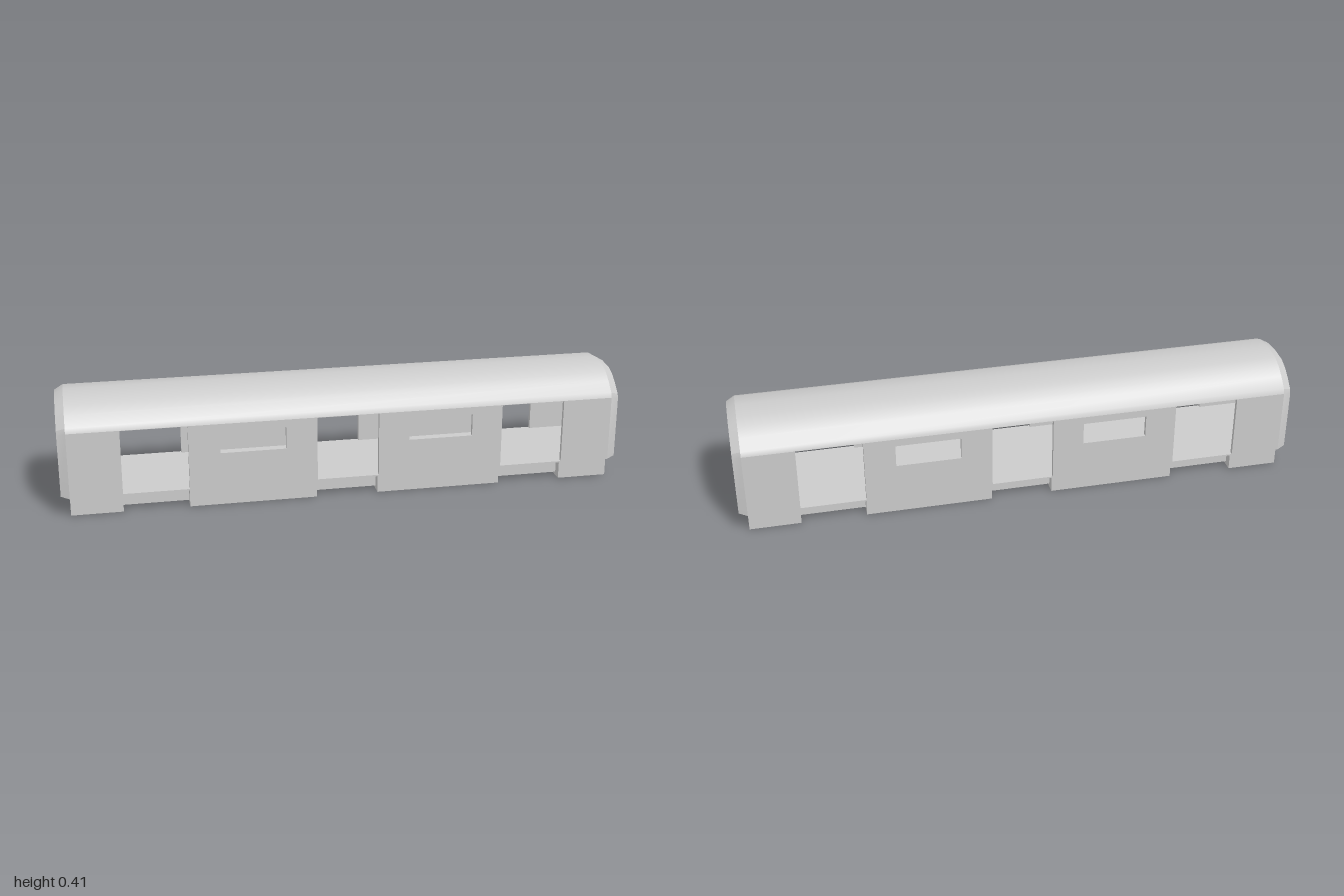
import * as THREE from 'three';
import { toCreasedNormals } from 'three/addons/utils/BufferGeometryUtils.js';

const material = new THREE.MeshStandardMaterial({ color: 0xcccccc });

const BODY = 0.97;       // half length up to the chamfered ends
const HALF_W = 0.183;    // half width of the body
const WALL = 0.014;      // wall thickness
const FLOOR_Y = 0.073;   // top of the floor
const EAVES = 0.305;     // where the walls meet the roof
const DOORS = [[-0.79, -0.56], [-0.11, 0.11], [0.56, 0.79]];
const WINDOWS = [[-0.45, -0.22], [0.22, 0.45]];

// Roof curve from the right eave over the crown to the left eave
function arch(inset) {
  const half = [[0.183, EAVES], [0.177, 0.323], [0.143, 0.357], [0.112, 0.381], [0.073, 0.399], [0, 0.406]];
  const all = [...half, ...half.slice(0, -1).reverse().map(([z, y]) => [-z, y])];
  const top = 0.406 - EAVES;
  return all.map(([z, y]) => new THREE.Vector2(
    z * (HALF_W - inset) / HALF_W,
    EAVES + (y - EAVES) * (top - inset) / top,
  ));
}

// Extrudes a cross-section (z, y) along the length of the carriage
function alongX(points, length) {
  const geometry = new THREE.ExtrudeGeometry(new THREE.Shape(points), { depth: length, bevelEnabled: false });
  geometry.translate(0, 0, -length / 2);
  geometry.rotateY(Math.PI / 2);
  return toCreasedNormals(geometry, 0.55);
}

function add(group, name, geometry) {
  const mesh = new THREE.Mesh(geometry, material);
  mesh.name = name;
  group.add(mesh);
  return mesh;
}

function box(group, name, x0, x1, y0, y1, halfZ) {
  const mesh = add(group, name, new THREE.BoxGeometry(x1 - x0, y1 - y0, halfZ * 2));
  mesh.position.set((x0 + x1) / 2, (y0 + y1) / 2, 0);
}

// Side wall with open doorways and window holes
function wallGeometry() {
  const doorTop = EAVES - 0.001;
  const shape = new THREE.Shape();
  shape.moveTo(-BODY, FLOOR_Y);
  for (const [a, b] of DOORS) {
    shape.lineTo(a, FLOOR_Y);
    shape.lineTo(a, doorTop);
    shape.lineTo(b, doorTop);
    shape.lineTo(b, FLOOR_Y);
  }
  shape.lineTo(BODY, FLOOR_Y);
  shape.lineTo(BODY, EAVES);
  shape.lineTo(-BODY, EAVES);
  shape.closePath();
  for (const [a, b] of WINDOWS) {
    shape.holes.push(new THREE.Path([
      new THREE.Vector2(a, 0.198), new THREE.Vector2(a, 0.278),
      new THREE.Vector2(b, 0.278), new THREE.Vector2(b, 0.198),
    ]));
  }
  return new THREE.ExtrudeGeometry(shape, { depth: WALL, bevelEnabled: false });
}

// Solid end wall whose outer face is drawn in to form the chamfer
function endGeometry() {
  const depth = 1 - BODY;
  const outline = [...arch(0), new THREE.Vector2(-HALF_W, 0.068), new THREE.Vector2(HALF_W, 0.068)];
  const geometry = new THREE.ExtrudeGeometry(new THREE.Shape(outline), { depth, bevelEnabled: false });
  const p = geometry.attributes.position;
  for (let i = 0; i < p.count; i++) {
    if (p.getZ(i) < depth / 2) continue;
    p.setX(i, p.getX(i) * 0.17 / HALF_W);
    p.setY(i, 0.075 + (p.getY(i) - 0.068) * 0.314 / 0.338);
  }
  geometry.translate(0, 0, BODY);
  return toCreasedNormals(geometry, 0.38);
}

export function createModel() {
  const model = new THREE.Group();
  model.name = 'railCarriage';

  // Curved roof shell
  add(model, 'roof', alongX([...arch(0), ...arch(WALL).reverse()], BODY * 2));

  // Side walls, open on both sides
  const wall = wallGeometry();
  add(model, 'frontWall', wall).position.z = HALF_W - WALL;
  add(model, 'backWall', wall).position.z = -HALF_W;

  // End walls
  const end = endGeometry();
  add(model, 'leftEnd', end).rotation.y = Math.PI / 2;
  add(model, 'rightEnd', end).rotation.y = -Math.PI / 2;

  // Floor with sloping lower edges
  const floor = [[-0.166, 0.062], [0.166, 0.062], [HALF_W, 0.068], [HALF_W, FLOOR_Y], [-HALF_W, FLOOR_Y], [-HALF_W, 0.068]];
  add(model, 'floor', alongX(floor.map(([z, y]) => new THREE.Vector2(z, y)), BODY * 2));

  // Underframe, recessed below each doorway
  const edges = [-BODY, ...DOORS.flat(), BODY];
  for (let i = 0; i < edges.length - 1; i++) {
    if (i % 2 === 0) box(model, 'skirtBlock', edges[i], edges[i + 1], 0, 0.062, 0.166);
    else box(model, 'doorwayRecess', edges[i], edges[i + 1], 0.012, 0.062, 0.135);
  }
  return model;
}
